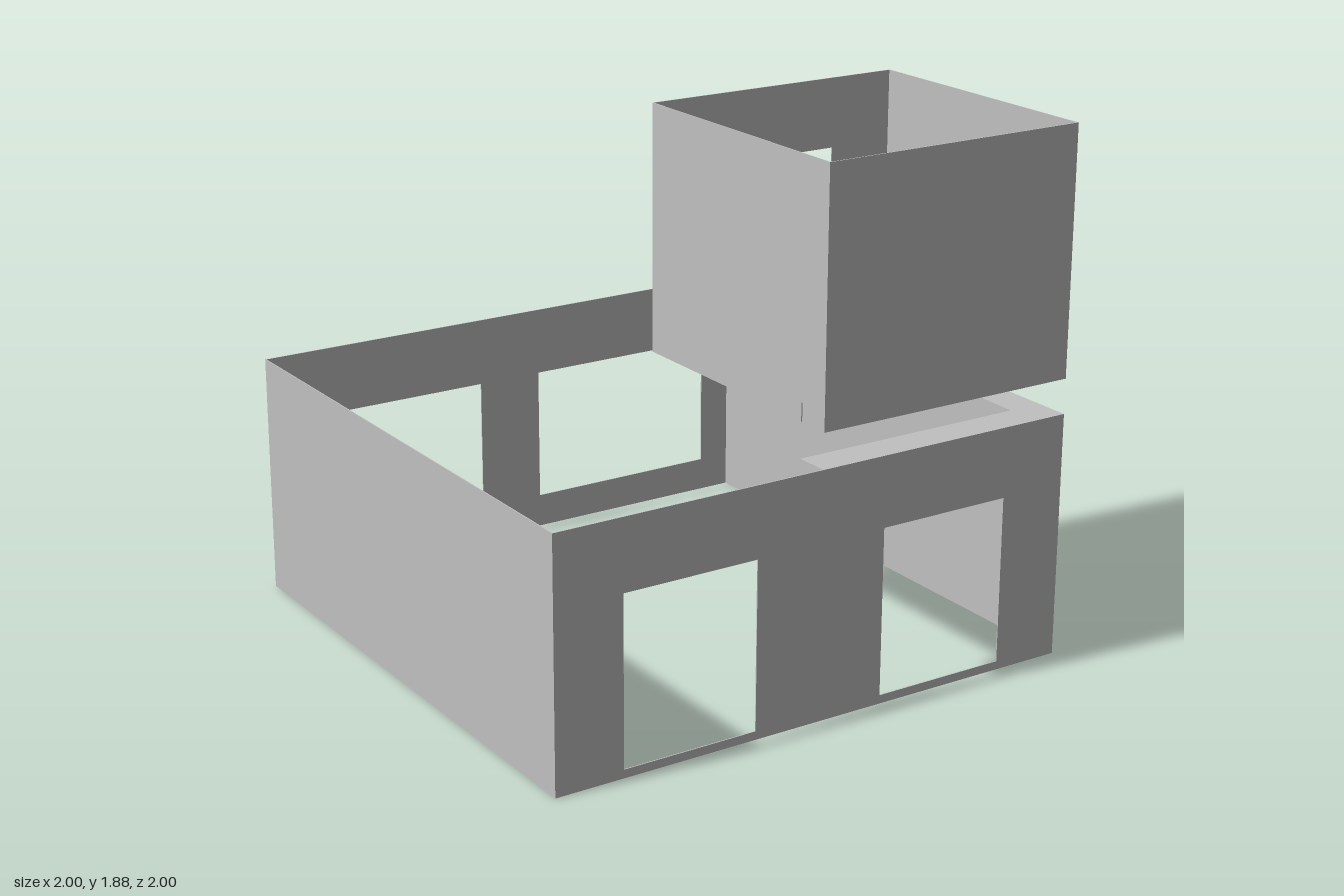
import * as THREE from 'three';

const T = 0.004; // sheet thickness of the walls
const H = 0.875; // storey height

const polygon = (points) => new THREE.Shape(points.map(([x, y]) => new THREE.Vector2(x, y)));
const rect = (x0, y0, x1, y1) => [[x0, y0], [x1, y0], [x1, y1], [x0, y1]];

export function createModel() {
  const grey = new THREE.MeshStandardMaterial({ color: 0xc0c0c0 });
  grey.name = 'wall grey';
  const model = new THREE.Group();
  model.name = 'house';

  // Upright sheet drawn in x/y; its outer face lies at z = 0 before turning
  function wall(name, outline, holes, parent, position, turn = 0) {
    const shape = polygon(outline);
    shape.holes = holes.map((h) => polygon(h));
    const geometry = new THREE.ExtrudeGeometry(shape, { depth: T, bevelEnabled: false });
    geometry.translate(0, 0, -T);
    const mesh = new THREE.Mesh(geometry, grey);
    mesh.name = name;
    mesh.position.set(...position);
    mesh.rotation.y = turn;
    parent.add(mesh);
  }

  // L-shaped one-sided ledge, facing up (1) or down (-1)
  function ledge(name, y, facing, parent) {
    const points = [[0, 1], [1, 1], [1, 0], [H, 0], [H, H], [0, H]];
    const geometry = new THREE.ShapeGeometry(polygon(points.map(([x, z]) => [x, -z * facing])));
    geometry.rotateX(-facing * Math.PI / 2);
    const mesh = new THREE.Mesh(geometry, grey);
    mesh.name = name;
    mesh.position.y = y;
    parent.add(mesh);
  }

  // Ground floor: doorways in front, wide windows behind, plain sides
  const lower = new THREE.Group();
  lower.name = 'groundFloor';
  model.add(lower);
  const side = rect(-1, 0, 1, H);
  const doors = [-0.5, 0.5].map((x) => rect(x - 0.25, 0.03, x + 0.25, 0.625));
  const windows = [-0.5, 0.5].map((x) => rect(x - 0.375, 0.125, x + 0.375, 0.625));
  wall('frontWall', side, doors, lower, [0, 0, 1]);
  wall('backWall', side, windows, lower, [0, 0, -1], Math.PI);
  wall('leftWall', side, [], lower, [1, 0, 0], Math.PI / 2);
  wall('rightWall', side, [], lower, [-1, 0, 0], -Math.PI / 2);
  ledge('wallTopLedge', H, 1, lower);

  // Upper floor over the front left quarter
  const upper = new THREE.Group();
  upper.name = 'upperFloor';
  model.add(upper);
  const N = 0.065; // notch height where the inner walls meet the ledge
  wall('upperFrontWall', rect(0, 0, 1, H), [], upper, [0, 1, 1]);
  wall('upperLeftWall', rect(0, 0, 1, H), [], upper, [1, 1, 1], Math.PI / 2);
  // Local x runs from the back (0) to the front (1)
  wall('upperRightWall', [[0, 0], [H, 0], [H, N], [1, N], [1, H], [0, H]], [], upper,
    [0, 1, 0], -Math.PI / 2);
  // Local x runs from the left (0) to the right (1), with an open doorway
  wall('upperBackWall', [[0, N], [0.125, N], [0.125, 0], [0.25, 0], [0.25, 0.625],
    [0.75, 0.625], [0.75, 0], [1, 0], [1, H], [0, H]], [], upper, [1, 1, 0], Math.PI);
  ledge('wallFootLedge', 1, -1, upper);

  return model;
}
